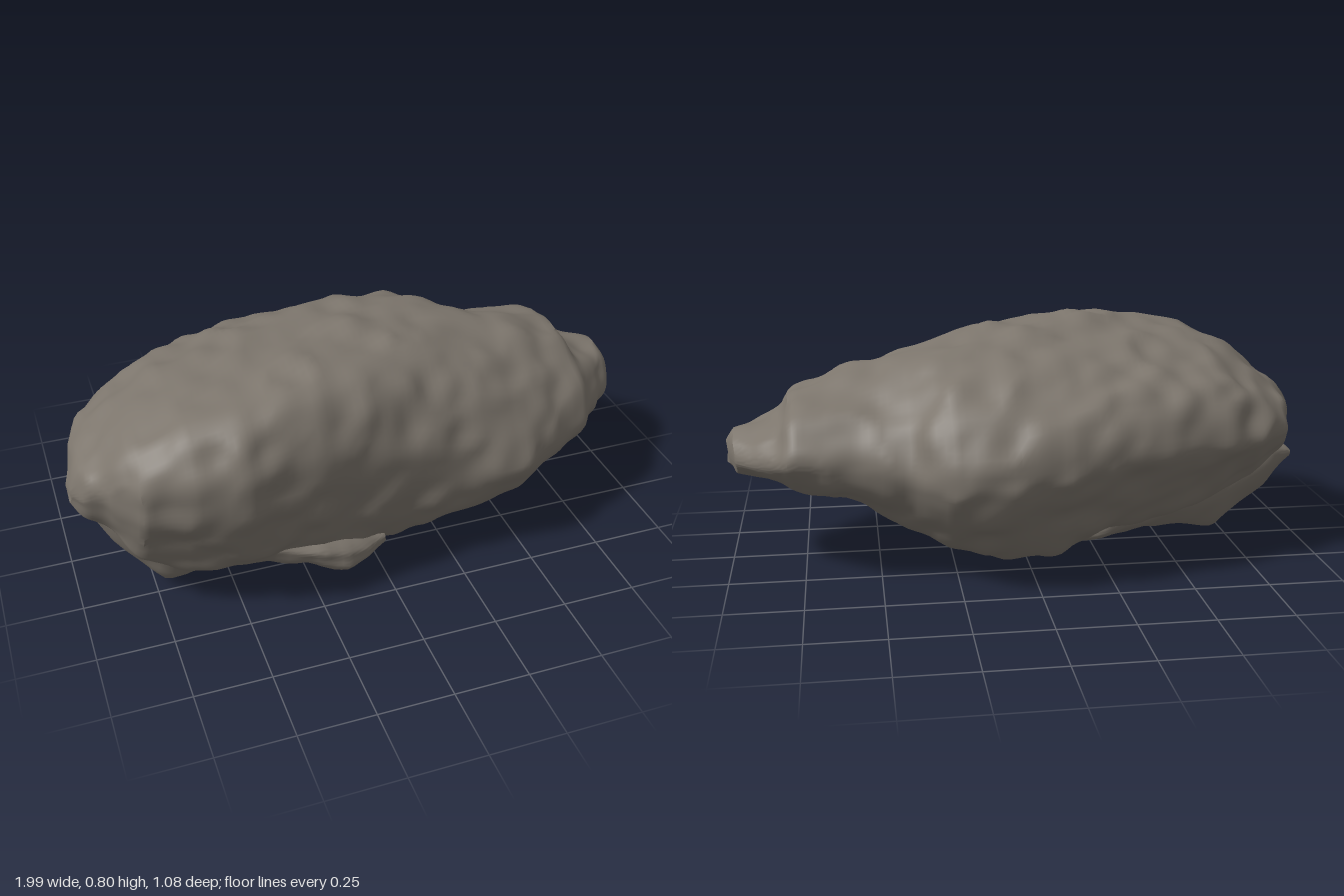
import * as THREE from 'three';
import { toCreasedNormals } from 'three/addons/utils/BufferGeometryUtils.js';

// Seeded lattice value noise in -1..1
function hash(x, y, z) {
  let h = Math.imul(x, 374761393) ^ Math.imul(y, 668265263) ^ Math.imul(z, 2147425526);
  h = Math.imul(h ^ (h >>> 13), 1274126177);
  return (((h ^ (h >>> 16)) >>> 0) / 4294967295) * 2 - 1;
}
function noise(x, y, z) {
  const c = [x, y, z].map(Math.floor);
  const f = [x - c[0], y - c[1], z - c[2]].map((t) => t * t * (3 - 2 * t));
  let sum = 0;
  for (let k = 0; k < 8; k++) {
    const a = k & 1, b = (k >> 1) & 1, d = k >> 2;
    sum += hash(c[0] + a, c[1] + b, c[2] + d) *
      (a ? f[0] : 1 - f[0]) * (b ? f[1] : 1 - f[1]) * (d ? f[2] : 1 - f[2]);
  }
  return sum;
}

// Cross-section sampled from (back..front, bottom..top) points in 0..1
function sampleSection(points, count) {
  const curve = new THREE.CatmullRomCurve3(
    points.map(([u, v]) => new THREE.Vector3(u, v, 0)), true, 'centripetal');
  return Array.from({ length: count }, (_, j) => curve.getPoint(j / count));
}

// Stations are [x, bottom, top, back, front]
function stationAt(stations, x) {
  let i = 0;
  while (i < stations.length - 2 && x > stations[i + 1][0]) i++;
  const a = stations[i], b = stations[i + 1];
  const t = (x - a[0]) / (b[0] - a[0]);
  return a.map((v, k) => THREE.MathUtils.lerp(v, b[k], t));
}

// Loft between two cross-sections along x, then roughen along the normals
function rockGeometry(stations, leftSection, rightSection, rings, sides, rough) {
  const left = sampleSection(leftSection, sides);
  const right = sampleSection(rightSection, sides);
  const x0 = stations[0][0], x1 = stations[stations.length - 1][0];
  const pos = [], index = [];
  for (let i = 0; i <= rings; i++) {
    const t = i / rings;
    const s = 0.5 * t + 0.25 * (1 - Math.cos(Math.PI * t));
    const [x, bottom, top, back, front] = stationAt(stations, x0 + (x1 - x0) * s);
    const blend = THREE.MathUtils.smoothstep(s, 0.4, 0.85);
    for (let j = 0; j < sides; j++) {
      const p = left[j].clone().lerp(right[j], blend);
      pos.push(x, bottom + (top - bottom) * p.y, back + (front - back) * p.x);
      if (i === rings) continue;
      const a = i * sides + j, b = i * sides + (j + 1) % sides;
      index.push(a, b, a + sides, b, b + sides, a + sides);
    }
  }
  // End caps
  const last = rings * sides, centre = (rings + 1) * sides;
  for (const s of [stations[0], stations[stations.length - 1]]) {
    pos.push(s[0], (s[1] + s[2]) / 2, (s[3] + s[4]) / 2);
  }
  for (let j = 0; j < sides; j++) {
    const k = (j + 1) % sides;
    index.push(centre, k, j, centre + 1, last + j, last + k);
  }
  const geo = new THREE.BufferGeometry();
  geo.setAttribute('position', new THREE.Float32BufferAttribute(pos, 3));
  geo.setIndex(index);
  geo.computeVertexNormals();
  const p = geo.attributes.position, n = geo.attributes.normal;
  for (let i = 0; i < p.count; i++) {
    const x = p.getX(i), y = p.getY(i), z = p.getZ(i);
    const d = rough * (
      0.012 * noise(x * 4 + 7, y * 5, z * 4) +
      0.018 * (0.25 - Math.abs(noise(x * 7, y * 8 + 3, z * 7))) +
      0.013 * noise(x * 12, y * 12, z * 12 + 5));
    p.setXYZ(i, x + n.getX(i) * d, y + n.getY(i) * d, z + n.getZ(i) * d);
  }
  return toCreasedNormals(geo, 0.6);
}

export function createModel() {
  const group = new THREE.Group();
  group.name = 'rock';
  const stone = new THREE.MeshStandardMaterial({ color: 0x7d766d });
  stone.name = 'stone';
  const add = (name, geometry) => {
    const mesh = new THREE.Mesh(geometry, stone);
    mesh.name = name;
    group.add(mesh);
  };

  // Boulder: sloping top, steep front, undercut back, low ledge at the +x end
  const bodyStations = [
    [-0.995, 0.39, 0.44, 0.13, 0.22], [-0.95, 0.34, 0.52, 0.0, 0.29],
    [-0.9, 0.3, 0.56, -0.19, 0.34], [-0.8, 0.22, 0.63, -0.27, 0.46],
    [-0.65, 0.15, 0.715, -0.36, 0.51], [-0.48, 0.11, 0.75, -0.43, 0.54],
    [-0.22, 0.06, 0.775, -0.5, 0.495], [-0.1, 0.02, 0.772, -0.535, 0.465],
    [0.08, 0.02, 0.76, -0.552, 0.445], [0.27, 0.07, 0.73, -0.53, 0.44],
    [0.4, 0.12, 0.7, -0.42, 0.435], [0.5, 0.17, 0.67, -0.38, 0.43],
    [0.62, 0.235, 0.635, -0.36, 0.38], [0.78, 0.285, 0.58, -0.345, 0.3],
    [0.82, 0.3, 0.515, -0.3, 0.26], [0.9, 0.305, 0.485, -0.23, 0.17],
    [0.97, 0.32, 0.46, -0.18, 0.08], [0.995, 0.345, 0.42, -0.1, 0.03],
  ];
  const bodyLeft = [
    [0, 0.5], [0.07, 0.72], [0.2, 0.84], [0.4, 0.93], [0.75, 1], [0.9, 0.96], [0.98, 0.82],
    [1, 0.62], [0.95, 0.36], [0.87, 0.12], [0.8, 0], [0.45, 0], [0.25, 0.06], [0.12, 0.25], [0.03, 0.4],
  ];
  const bodyRight = [
    [0, 0.45], [0.05, 0.66], [0.18, 0.85], [0.4, 0.99], [0.59, 0.97], [0.77, 0.86], [0.91, 0.62],
    [0.99, 0.35], [0.98, 0.16], [0.9, 0.04], [0.6, 0], [0.4, 0], [0.2, 0.05], [0.08, 0.18], [0.02, 0.32],
  ];
  add('boulder', rockGeometry(bodyStations, bodyLeft, bodyRight, 110, 90, 1));

  // Tilted broken slab under the -x end, tapering down to a narrow foot
  const slabStations = [
    [-0.94, 0.28, 0.33, -0.1, 0.15], [-0.87, 0.17, 0.37, -0.12, 0.25],
    [-0.8, 0.1, 0.36, -0.11, 0.3], [-0.71, 0.008, 0.3, -0.11, 0.33],
    [-0.55, 0.035, 0.25, -0.16, 0.36], [-0.4, 0.045, 0.2, -0.2, 0.38],
    [-0.27, 0.045, 0.16, -0.23, 0.4], [-0.13, 0.005, 0.13, -0.13, 0.41],
    [-0.05, 0.025, 0.1, -0.02, 0.38], [0.03, 0.04, 0.08, 0.1, 0.32],
  ];
  const slabLeft = [
    [0, 0.7], [0.01, 0.9], [0.1, 1], [0.5, 1], [0.92, 1], [1, 0.88],
    [0.98, 0.65], [0.9, 0.35], [0.74, 0.05], [0.5, 0], [0.28, 0.02], [0.06, 0.4],
  ];
  const slabRight = [
    [0, 0.55], [0.01, 0.85], [0.1, 1], [0.5, 1], [0.92, 1], [0.99, 0.88],
    [1, 0.6], [0.99, 0.35], [0.93, 0.18], [0.5, 0], [0.2, 0.04], [0.03, 0.25],
  ];
  add('underSlab', rockGeometry(slabStations, slabLeft, slabRight, 50, 60, 0.6));
  return group;
}
